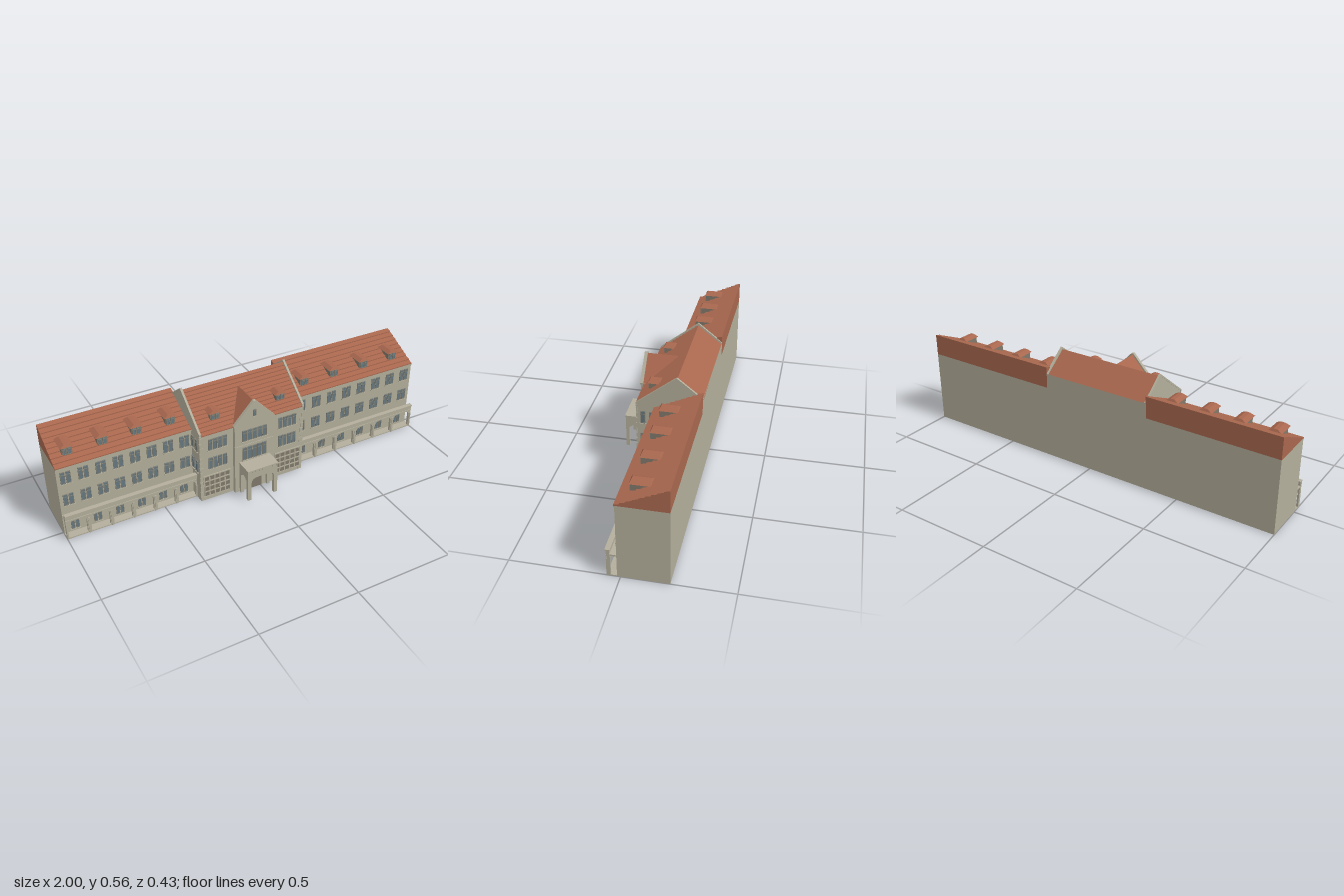
import * as THREE from 'three';
import { mergeGeometries } from 'three/addons/utils/BufferGeometryUtils.js';
import { ConvexGeometry } from 'three/addons/geometries/ConvexGeometry.js';

const material = (name, color) => {
  const m = new THREE.MeshStandardMaterial({ color, side: THREE.DoubleSide, flatShading: true });
  m.name = name;
  return m;
};

// Box given by its limits
const box = (x0, x1, y0, y1, z0, z1) =>
  new THREE.BoxGeometry(x1 - x0, y1 - y0, z1 - z0).translate((x0 + x1) / 2, (y0 + y1) / 2, (z0 + z1) / 2);

const shapeOf = (pts) => new THREE.Shape(pts.map((p) => new THREE.Vector2(p[0], p[1])));
const extrude = (shape, depth) =>
  new THREE.ExtrudeGeometry(shape, { depth, bevelEnabled: false, curveSegments: 8 });
// Outline in (z, y) drawn out along x
const alongX = (shape, x0, x1) => extrude(shape, x1 - x0).rotateY(-Math.PI / 2).translate(x1, 0, 0);
const alongZ = (shape, z0, z1) => extrude(shape, z1 - z0).translate(0, 0, z0);
const hull = (pts) => new ConvexGeometry(pts.map((p) => new THREE.Vector3(...p)));

// Sawtooth line of overlapping tile courses
function courses(z0, y0, z1, y1, n, lift) {
  const pts = [[z0, y0]];
  for (let i = 0; i < n; i++) {
    const a = i / n, b = (i + 1) / n;
    pts.push([z0 + (z1 - z0) * a, y0 + (y1 - y0) * a + lift]);
    pts.push([z0 + (z1 - z0) * b, y0 + (y1 - y0) * b]);
  }
  return pts;
}

// Arched opening outline: 'rise' above the springing, pointed or rounded
function archPath(x0, x1, base, spring, apex, pointed) {
  const p = new THREE.Path(), c = (x0 + x1) / 2;
  p.moveTo(x0, base);
  p.lineTo(x1, base);
  p.lineTo(x1, spring);
  if (pointed) {
    p.quadraticCurveTo(x1, spring + (apex - spring) * 0.4, c, apex);
    p.quadraticCurveTo(x0, spring + (apex - spring) * 0.4, x0, spring);
  } else {
    p.bezierCurveTo(x1, apex, x1 - (x1 - x0) * 0.2, apex, c, apex);
    p.bezierCurveTo(x0 + (x1 - x0) * 0.2, apex, x0, apex, x0, spring);
  }
  return p;
}

export function createModel() {
  const root = new THREE.Group();
  root.name = 'building';
  const stone = material('stone', 0xb3ae9b);
  const roof = material('terracotta tile', 0xa8674e);
  const glass = material('window glass', 0x667780);
  const frame = material('window frame', 0x858375);
  const wood = material('weathered wood', 0x80786a);

  const part = (name, mat, geos) => {
    const mesh = new THREE.Mesh(mergeGeometries(geos.map((g) => {
      const n = g.index ? g.toNonIndexed() : g;
      n.deleteAttribute('uv');
      return n;
    })), mat);
    mesh.name = name;
    root.add(mesh);
  };

  const panes = [], frames = [], sills = [];
  // Window of several lights, each framed and with a transom
  function addWindow(x, y0, y1, z, width, lights, yaw = 0, sill = true) {
    const gap = 0.005, w = (width - gap * (lights - 1)) / lights, e = 0.0025;
    const place = (list, g) => list.push(g.rotateY(yaw).translate(x, 0, z));
    for (let i = 0; i < lights; i++) {
      const a = -width / 2 + i * (w + gap), b = a + w, t = y0 + (y1 - y0) * 0.74;
      place(panes, box(a, b, y0, y1, -0.003, 0.003));
      place(frames, box(a, a + e, y0, y1, -0.004, 0.005));
      place(frames, box(b - e, b, y0, y1, -0.004, 0.005));
      for (const y of [y0, t, y1 - e]) place(frames, box(a, b, y, y + e, -0.004, 0.005));
    }
    if (sill) place(sills, box(-width / 2 - 0.004, width / 2 + 0.004, y0 - 0.004, y0, 0, 0.008));
  }

  const dormerBodies = [], dormerRoofs = [];
  function addDormer(x, y0, y1, top, z0, z1) {
    dormerBodies.push(box(x - 0.025, x + 0.025, y0, y1, z0, z1));
    const w = 0.033, a = z0 - 0.006, b = z1 + 0.006;
    dormerRoofs.push(hull([
      [x - w, y1 - 0.002, a], [x + w, y1 - 0.002, a], [x - w, y1 - 0.002, b], [x + w, y1 - 0.002, b],
      [x - 0.01, top, a + 0.008], [x + 0.01, top, a + 0.008], [x - 0.01, top, b - 0.008], [x + 0.01, top, b - 0.008]]));
    addWindow(x, y0 + 0.008, y1 - 0.004, z1, 0.04, 2, 0, false);
  }

  // Wings: walls, tiled roof, arcade, windows and dormers
  const walls = [], wingRoofs = [], arcade = [], bands = [];
  const BACK = -0.215;
  const wings = [
    { x0: -1, x1: -0.32, end: -1, dormers: [-0.92, -0.75, -0.58, -0.406] },
    { x0: 0.252, x1: 1, end: 1, dormers: [0.348, 0.53, 0.717, 0.904] },
  ];
  for (const { x0, x1, end, dormers } of wings) {
    const len = x1 - x0;
    walls.push(new THREE.PlaneGeometry(len, 0.385).translate((x0 + x1) / 2, 0.1925, 0.015));
    walls.push(new THREE.PlaneGeometry(0.23, 0.38).rotateY(end * Math.PI / 2).translate(end, 0.19, -0.1));
    wingRoofs.push(alongX(shapeOf([...courses(0.019, 0.38, BACK, 0.49, 9, 0.005), [BACK, 0.38]]), x0, x1));
    bands.push(box(x0, x1, 0.372, 0.38, 0.014, 0.019));

    const bays = 6, step = len / bays;
    const face = shapeOf([[x0, 0], [x1, 0], [x1, 0.117], [x0, 0.117]]);
    for (let i = 0; i < bays; i++) {
      const a = x0 + i * step, c = a + step / 2;
      face.holes.push(archPath(a + 0.009, a + step - 0.009, 0.006, 0.068, 0.1, false));
      addWindow(c, 0.02, 0.082, 0.015, 0.04, 2);
      arcade.push(box(Math.max(a - 0.005, x0), a + 0.005, 0, 0.09, 0.055, 0.061));
    }
    arcade.push(alongZ(face, 0.043, 0.057));
    arcade.push(box(x1 - 0.006, x1, 0, 0.09, 0.055, 0.061));
    arcade.push(box(x0, x1, 0, 0.005, 0.015, 0.058));
    arcade.push(box(x0, x1, 0.11, 0.117, 0.015, 0.058));
    arcade.push(box(x0, x1, 0.117, 0.138, 0.045, 0.06));
    arcade.push(box(x0, x1, 0.135, 0.14, 0.043, 0.066));
    arcade.push(box(x0, x1, 0.106, 0.11, 0.056, 0.061));

    for (let i = 0; i < 8; i++) {
      const x = x0 + (i + 0.5) * len / 8;
      addWindow(x, 0.29, 0.356, 0.015, 0.05, 2);
      addWindow(x, 0.167, 0.23, 0.015, 0.05, 2);
    }
    for (const x of dormers) addDormer(x, 0.4, 0.45, 0.461, -0.118, -0.036);
  }
  walls.push(new THREE.PlaneGeometry(2, 0.38).rotateY(Math.PI).translate(0, 0.19, BACK));

  // Centre block: front and upper back walls, gable ends with coping
  const L = -0.325, R = 0.257, MID = -0.034;
  walls.push(new THREE.PlaneGeometry(R - L, 0.395).translate(MID, 0.1975, 0.105));
  walls.push(new THREE.PlaneGeometry(R - L, 0.075).rotateY(Math.PI).translate(MID, 0.4175, BACK));
  part('walls', stone, walls);
  const gableEnd = [[0.105, 0], [0.105, 0.395], [-0.09, 0.548], [BACK, 0.449], [BACK, 0.375], [0.015, 0.375], [0.015, 0]];
  const coping = [[0.108, 0.39], [0.108, 0.4], [-0.09, 0.556], [BACK, 0.457], [BACK, 0.446], [-0.09, 0.545]];
  part('gableEnds', stone, [[L + 0.002, L + 0.009], [R - 0.009, R - 0.002]].map(([a, b]) => alongX(shapeOf(gableEnd), a, b)));
  part('gableCoping', stone, [[L, L + 0.011], [R - 0.011, R]].map(([a, b]) => alongX(shapeOf(coping), a, b)));
  part('centreRoof', roof, [alongX(shapeOf([
    ...courses(0.111, 0.387, -0.09, 0.544, 12, 0.005), [BACK, 0.447], [BACK, 0.44], [-0.09, 0.53]]), L + 0.01, R - 0.01)]);
  bands.push(box(L, R, 0.381, 0.388, 0.104, 0.109));

  // Corner stones alternating long and short
  const quoins = [];
  for (let i = 0; i < 13; i++) {
    const w = i % 2 ? 0.012 : 0.02, y = 0.002 + i * 0.029;
    quoins.push(box(L, L + w, y, y + 0.025, 0.1, 0.107), box(R - w, R, y, y + 0.025, 0.1, 0.107));
  }
  part('cornerStones', stone, quoins);

  // Projecting bay with gable and its cross roof
  const bx = -0.035;
  part('bay', stone, [alongZ(shapeOf([[bx - 0.108, 0], [bx + 0.108, 0], [bx + 0.108, 0.395], [bx, 0.508], [bx - 0.108, 0.395]]), 0.105, 0.125)]);
  part('bayCoping', stone, [alongZ(shapeOf([[bx - 0.114, 0.393], [bx - 0.114, 0.402], [bx - 0.006, 0.517], [bx + 0.006, 0.517],
    [bx + 0.114, 0.402], [bx + 0.114, 0.393], [bx + 0.106, 0.393], [bx, 0.504], [bx - 0.106, 0.393]]), 0.113, 0.128)]);
  part('bayRoof', roof, [hull([[bx - 0.113, 0.392, 0.113], [bx + 0.113, 0.392, 0.113], [bx, 0.511, 0.113], [bx, 0.511, -0.043]])]);
  bands.push(box(bx - 0.109, bx + 0.109, 0.272, 0.277, 0.12, 0.128));
  part('stringCourses', stone, bands);
  addWindow(bx, 0.3, 0.362, 0.125, 0.135, 5);
  addWindow(bx, 0.188, 0.262, 0.125, 0.135, 5);
  addWindow(bx, 0.432, 0.468, 0.125, 0.016, 1);

  // Windows, dormers and lattice screens beside the bay
  const screens = [], lattice = [];
  for (const [x, s0, s1] of [[-0.228, -0.305, -0.163], [0.163, 0.095, 0.243]]) {
    addWindow(x, 0.295, 0.358, 0.105, 0.1, 4);
    addWindow(x, 0.185, 0.25, 0.105, 0.1, 4);
    screens.push(box(s0, s1, 0.022, 0.145, 0.103, 0.107));
    for (let i = 0; i <= 5; i++) {
      const c = s0 + (s1 - s0) * i / 5;
      lattice.push(box(c - 0.003, c + 0.003, 0.02, 0.147, 0.104, 0.11));
    }
    for (let i = 0; i <= 4; i++) {
      const y = 0.022 + 0.123 * i / 4;
      lattice.push(box(s0, s1, y - 0.003, y + 0.003, 0.104, 0.11));
    }
  }
  part('screenPanels', wood, screens);
  part('screenLattice', stone, lattice);
  addDormer(-0.215, 0.425, 0.468, 0.48, 0.008, 0.06);
  addDormer(0.147, 0.425, 0.468, 0.48, 0.008, 0.06);
  for (const [x, yaw] of [[L + 0.002, -Math.PI / 2], [R - 0.002, Math.PI / 2]])
    for (const z of [0.073, 0.03])
      for (const [a, b] of [[0.29, 0.356], [0.167, 0.232]]) addWindow(x, a, b, z, 0.024, 1, yaw);

  // Porch with arched front and sides, flat roof and small brackets
  const px0 = bx - 0.083, px1 = bx + 0.083, TOP = 0.176;
  // Outline with an arch cut up from the ground
  const archWall = (a, b, c, d, spring, apex, pointed) => {
    const s = shapeOf([[a, 0], [a, TOP], [b, TOP], [b, 0], [d, 0], [d, spring]]);
    const m = (c + d) / 2;
    if (pointed) {
      s.quadraticCurveTo(d, spring + 0.008, m, apex);
      s.quadraticCurveTo(c, spring + 0.008, c, spring);
    } else {
      s.bezierCurveTo(d, apex, d - 0.02, apex, m, apex);
      s.bezierCurveTo(c + 0.02, apex, c, apex, c, spring);
    }
    s.lineTo(c, 0);
    return s;
  };
  const porch = [
    alongZ(archWall(px0, px1, px0 + 0.019, px1 - 0.019, 0.095, 0.132, false), 0.197, 0.214),
    box(px0, px1, 0.168, TOP, 0.125, 0.205),
    box(px0 - 0.003, px1 + 0.003, TOP, 0.182, 0.12, 0.218),
  ];
  for (const x of [px0, px1 - 0.016])
    porch.push(alongX(archWall(0.125, 0.213, 0.138, 0.197, 0.108, 0.131, true), x, x + 0.016));
  for (let i = 0; i < 9; i++) {
    const x = px0 + 0.006 + i * (px1 - px0 - 0.012) / 8;
    porch.push(box(x - 0.003, x + 0.003, 0.165, TOP, 0.212, 0.217));
  }
  part('porch', stone, porch);
  const door = new THREE.Shape(archPath(-0.077, 0.007, 0, 0.075, 0.102, false).getPoints(8));
  part('door', wood, [alongZ(door, 0.123, 0.128)]);

  part('wingRoofs', roof, wingRoofs);
  part('arcades', stone, arcade);
  part('dormerBodies', wood, dormerBodies);
  part('dormerRoofs', roof, dormerRoofs);
  part('windowPanes', glass, panes);
  part('windowFrames', frame, frames);
  part('windowSills', stone, sills);
  return root;
}
